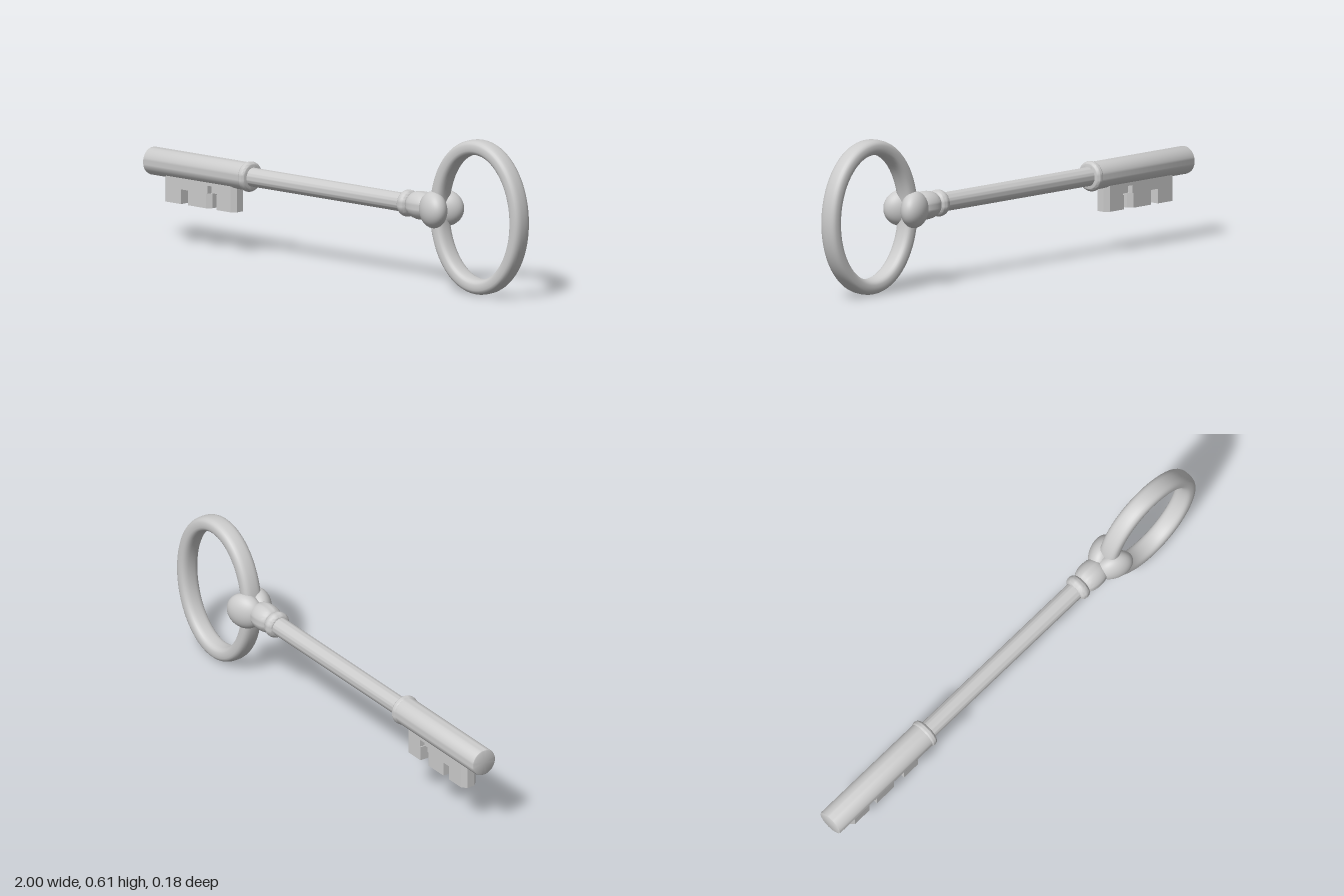
import * as THREE from 'three';
import { mergeVertices, toCreasedNormals } from 'three/addons/utils/BufferGeometryUtils.js';

const AXIS_Y = 0.313;

export function createModel() {
  const key = new THREE.Group();
  key.name = 'key';
  const material = new THREE.MeshStandardMaterial({ color: 0xcccccc });

  function add(name, geometry, x = 0, y = 0, z = 0) {
    const mesh = new THREE.Mesh(geometry, material);
    mesh.name = name;
    mesh.position.set(x, y, z);
    key.add(mesh);
    return mesh;
  }

  // Turned part on the long axis; profile points are [x, radius]
  function turned(name, profile) {
    const points = profile.map(([x, r]) => new THREE.Vector2(r, x));
    const g = new THREE.LatheGeometry(points, 40).rotateZ(-Math.PI / 2);
    add(name, toCreasedNormals(g, 0.6), 0, AXIS_Y);
  }

  // Rounded ring profile: half an ellipse between x0 and x1
  function beadProfile(x0, x1, inner, outer) {
    const points = [[x0, 0]];
    for (let i = 0; i <= 12; i++) {
      const a = (i / 12) * Math.PI;
      points.push([(x0 + x1) / 2 - Math.cos(a) * (x1 - x0) / 2, inner + Math.sin(a) * (outer - inner)]);
    }
    points.push([x1, 0]);
    return points;
  }

  // Barrel, shaft and collars
  turned('barrel', [[-1, 0], [-1, 0.049], [-0.998, 0.053], [-0.992, 0.055], [-0.485, 0.055], [-0.485, 0]]);
  turned('shaft', [[-0.5, 0], [-0.5, 0.037], [0.5, 0.037], [0.5, 0]]);
  turned('barrelCollar', beadProfile(-0.492, -0.458, 0.044, 0.06));
  turned('neckCollar', beadProfile(0.352, 0.398, 0.036, 0.053));
  turned('neckBead', beadProfile(0.395, 0.5, 0.035, 0.056));

  // Two egg-shaped lobes gripping the bow, splayed towards it
  for (const side of [1, -1]) {
    const g = new THREE.SphereGeometry(1, 40, 28);
    g.scale(0.078, 0.072, 0.05);
    const lobe = add(side > 0 ? 'frontLobe' : 'backLobe', g, 0.54, AXIS_Y - 0.002, side * 0.033);
    lobe.rotation.y = -side * 0.4;
  }

  // Oval bow with a rounded-square section, offset along the oval's normal
  const bow = new THREE.TorusGeometry(1, 0.1, 24, 96);
  const uv = bow.attributes.uv, pos = bow.attributes.position;
  const rx = 0.213, ry = 0.275;
  const soft = (c) => Math.sign(c) * Math.pow(Math.abs(c), 0.75);
  for (let i = 0; i < pos.count; i++) {
    const u = uv.getX(i) * Math.PI * 2, v = uv.getY(i) * Math.PI * 2;
    const n = new THREE.Vector2(Math.cos(u) / rx, Math.sin(u) / ry).normalize();
    const d = 0.03 * soft(Math.cos(v));
    pos.setXYZ(i, rx * Math.cos(u) + n.x * d, ry * Math.sin(u) + n.y * d, 0.04 * soft(Math.sin(v)));
  }
  bow.deleteAttribute('uv');
  bow.deleteAttribute('normal');
  const bowGeometry = mergeVertices(bow, 1e-5);
  bowGeometry.computeVertexNormals();
  add('bow', bowGeometry, 0.757, 0.305);

  // Bit blocks: plan outline with optional chamfered ends, raised from y0 to y1
  function block(name, x0, x1, y0, y1, h, leftCut, rightCut) {
    const s = new THREE.Shape([
      [x0, -h + leftCut], [x0 + leftCut, -h], [x1 - rightCut, -h], [x1, -h + rightCut],
      [x1, h - rightCut], [x1 - rightCut, h], [x0 + leftCut, h], [x0, h - leftCut],
    ].map(([x, z]) => new THREE.Vector2(x, z)));
    const g = new THREE.ExtrudeGeometry(s, { depth: y1 - y0, bevelEnabled: false });
    g.rotateX(-Math.PI / 2);
    add(name, g, 0, y0);
  }
  const h = 0.034, cut = 0.018, root = 0.3, notch = 0.225, foot = 0.167;
  block('bitOuterBody', -0.912, -0.67, notch, root, h, cut, 0.001);
  block('bitInnerBody', -0.62, -0.528, notch, root, h, 0.001, cut);
  block('bitWeb', -0.68, -0.61, notch, root, 0.012, 0.001, 0.001);
  block('bitLintel', -0.68, -0.61, 0.257, root, h, 0.001, 0.001);
  block('outerTooth', -0.912, -0.813, foot, notch, h, cut, 0.001);
  block('middleTooth', -0.775, -0.66, foot, notch, h, 0.001, cut);
  block('innerTooth', -0.624, -0.528, foot, notch, h, 0.001, cut);

  return key;
}
